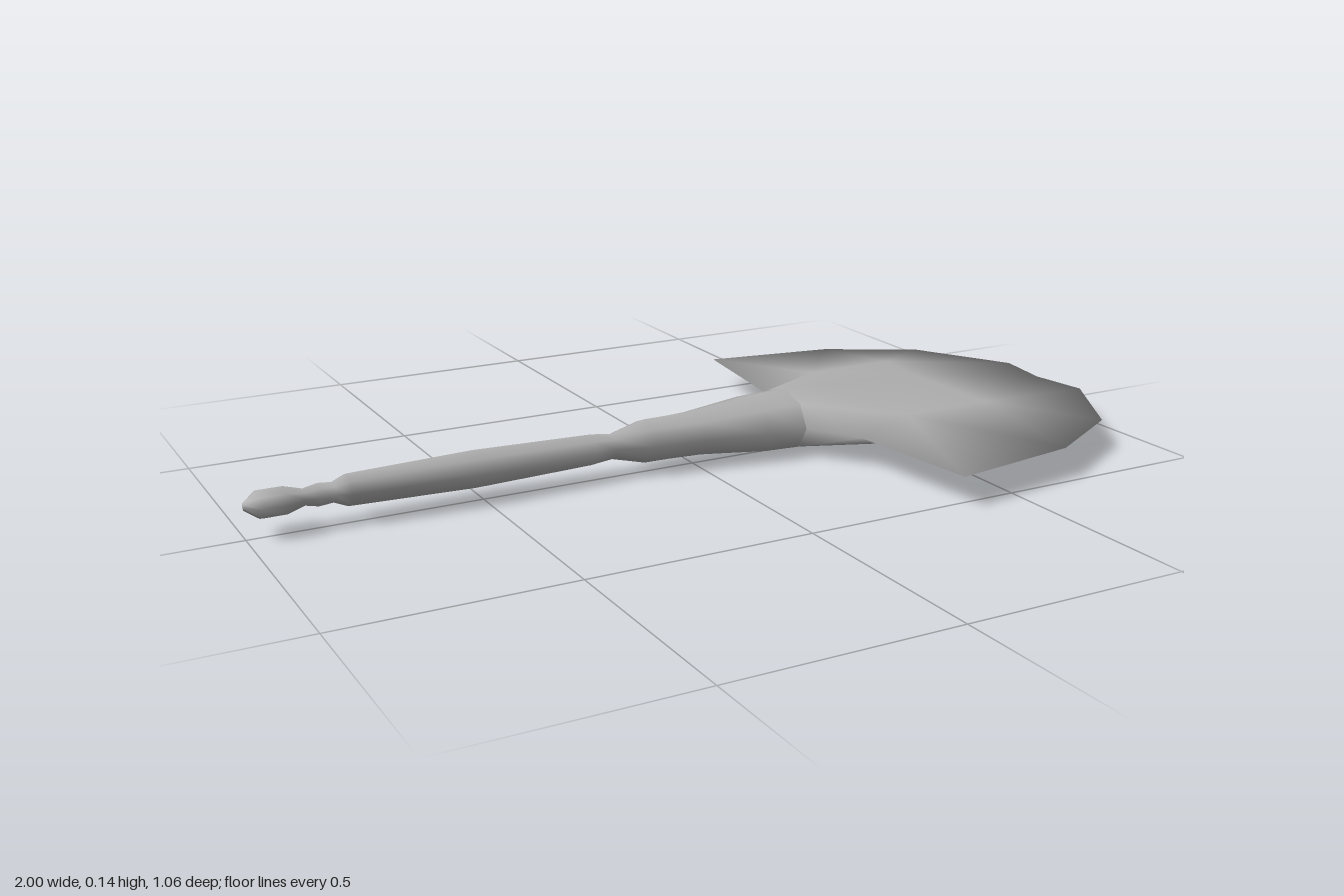
import * as THREE from 'three';
import { mergeVertices } from 'three/addons/utils/BufferGeometryUtils.js';

const MID = 0.07; // height of the long axis
const SIDES = 8;

// Smooth geometry from a list of triangles (corners as [x, y, z])
function smoothGeometry(triangles) {
  const geometry = new THREE.BufferGeometry();
  geometry.setAttribute('position', new THREE.Float32BufferAttribute(triangles.flat(2), 3));
  const merged = mergeVertices(geometry, 1e-4);
  merged.computeVertexNormals();
  return merged;
}

// Handle: oval cross-sections lofted along x
function handleGeometry() {
  // x, half height, half depth
  const sections = [
    [-1, 0.008, 0.008], [-0.97, 0.03, 0.036], [-0.92, 0.03, 0.036], [-0.88, 0.018, 0.02],
    [-0.85, 0.025, 0.026], [-0.82, 0.022, 0.022], [-0.79, 0.035, 0.035], [-0.52, 0.042, 0.046],
    [-0.25, 0.035, 0.034], [-0.2, 0.029, 0.029], [-0.12, 0.05, 0.052], [0, 0.051, 0.065],
    [0.15, 0.067, 0.09], [0.24, 0.07, 0.095],
  ];
  const point = ([x, h, d], i) => {
    const a = ((i % SIDES) / SIDES) * Math.PI * 2;
    return [x, MID + h * Math.cos(a), d * Math.sin(a)];
  };
  const triangles = [];
  for (let s = 0; s < sections.length - 1; s++) {
    for (let i = 0; i < SIDES; i++) {
      const a = point(sections[s], i), b = point(sections[s], i + 1);
      const c = point(sections[s + 1], i + 1), d = point(sections[s + 1], i);
      triangles.push([a, b, c], [a, c, d]);
    }
  }
  // Closed butt end
  for (let i = 0; i < SIDES; i++) {
    triangles.push([[-1, MID, 0], point(sections[0], i + 1), point(sections[0], i)]);
  }
  return smoothGeometry(triangles);
}

// Blade: one quarter, mirrored across its thickness and its width
function bladeGeometry() {
  // x, height above the mid plane, z
  const p = {
    neckTop: [0.24, 0.07, 0], neckSide: [0.24, 0.0495, 0.0672], neckEdge: [0.24, 0, 0.095],
    ridge: [0.34, 0.067, 0], crown: [0.6, 0.056, 0],
    shoulder: [0.44, 0.033, 0.2], cheek: [0.66, 0.033, 0.2],
    notch: [0.31, 0, 0.21], horn: [0.35, 0, 0.53], rimA: [0.66, 0, 0.48],
    rimB: [0.87, 0, 0.36], rimC: [1, 0, 0.135], rimMid: [0.98, 0, 0],
  };
  const faces = [
    'neckSide neckEdge notch', 'neckSide notch shoulder', 'notch horn shoulder',
    'shoulder horn rimA', 'shoulder rimA cheek', 'cheek rimA rimB', 'cheek rimB rimC',
    'cheek rimC rimMid', 'cheek rimMid crown', 'crown shoulder cheek',
    'ridge shoulder crown', 'neckTop neckSide shoulder', 'neckTop shoulder ridge',
  ];
  const triangles = [];
  for (const up of [1, -1]) {
    for (const side of [1, -1]) {
      for (const face of faces) {
        const [a, b, c] = face.split(' ').map((n) => [p[n][0], MID + up * p[n][1], side * p[n][2]]);
        // Turn each face outward
        const ny = (b[2] - a[2]) * (c[0] - a[0]) - (b[0] - a[0]) * (c[2] - a[2]);
        triangles.push(ny * up > 0 ? [a, b, c] : [a, c, b]);
      }
    }
  }
  return smoothGeometry(triangles);
}

export function createModel() {
  const steel = new THREE.MeshStandardMaterial({ color: 0xb0b0b0 });
  steel.name = 'grey steel';
  const model = new THREE.Group();
  model.name = 'broadBladedAxe';
  const add = (name, geometry) => {
    const mesh = new THREE.Mesh(geometry, steel);
    mesh.name = name;
    model.add(mesh);
  };
  add('handle', handleGeometry());
  add('blade', bladeGeometry());
  return model;
}
